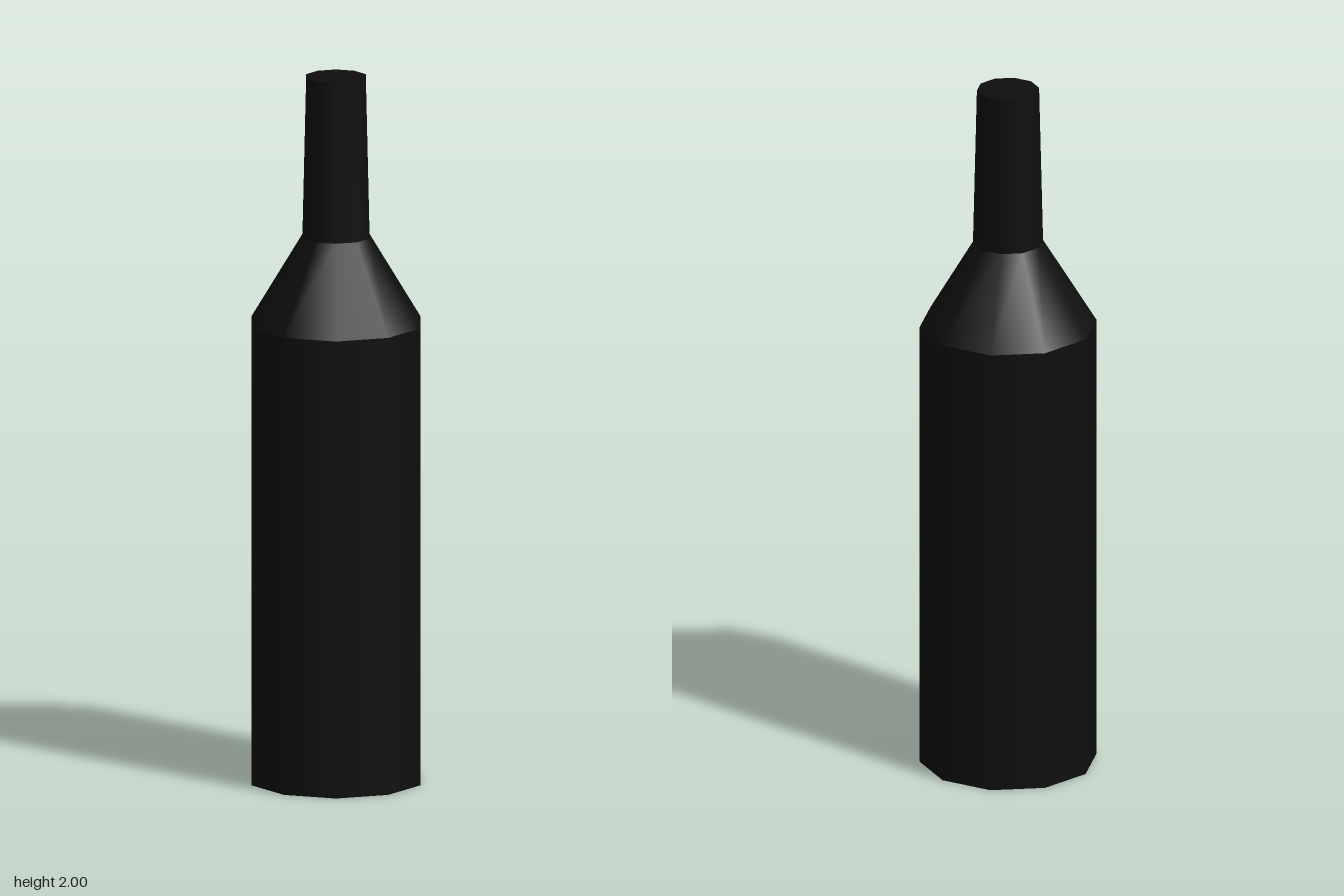
import * as THREE from 'three';

const SIDES = 10;

export function createModel() {
  const group = new THREE.Group();
  group.name = 'bottle';
  const glass = new THREE.MeshStandardMaterial({ color: 0x0e0e0e });
  glass.name = 'black glass';

  const add = (name, geometry, y) => {
    const mesh = new THREE.Mesh(geometry, glass);
    mesh.name = name;
    mesh.position.y = y;
    group.add(mesh);
  };

  // Ten-sided open wall with corners on the x axis
  const wall = (name, rBottom, rTop, y0, y1) =>
    add(name, new THREE.CylinderGeometry(rTop, rBottom, y1 - y0, SIDES, 1, true, Math.PI / 2), (y0 + y1) / 2);

  // Flat end disc, facing up (dir = 1) or down (dir = -1)
  const cap = (name, r, y, dir) =>
    add(name, new THREE.CircleGeometry(r, SIDES).rotateX(-dir * Math.PI / 2), y);

  wall('body', 0.247, 0.247, 0, 1.3);
  wall('shoulder', 0.247, 0.098, 1.3, 1.545);
  wall('neck', 0.098, 0.087, 1.545, 2);
  cap('base', 0.247, 0, -1);
  cap('mouth', 0.087, 2, 1);

  return group;
}
